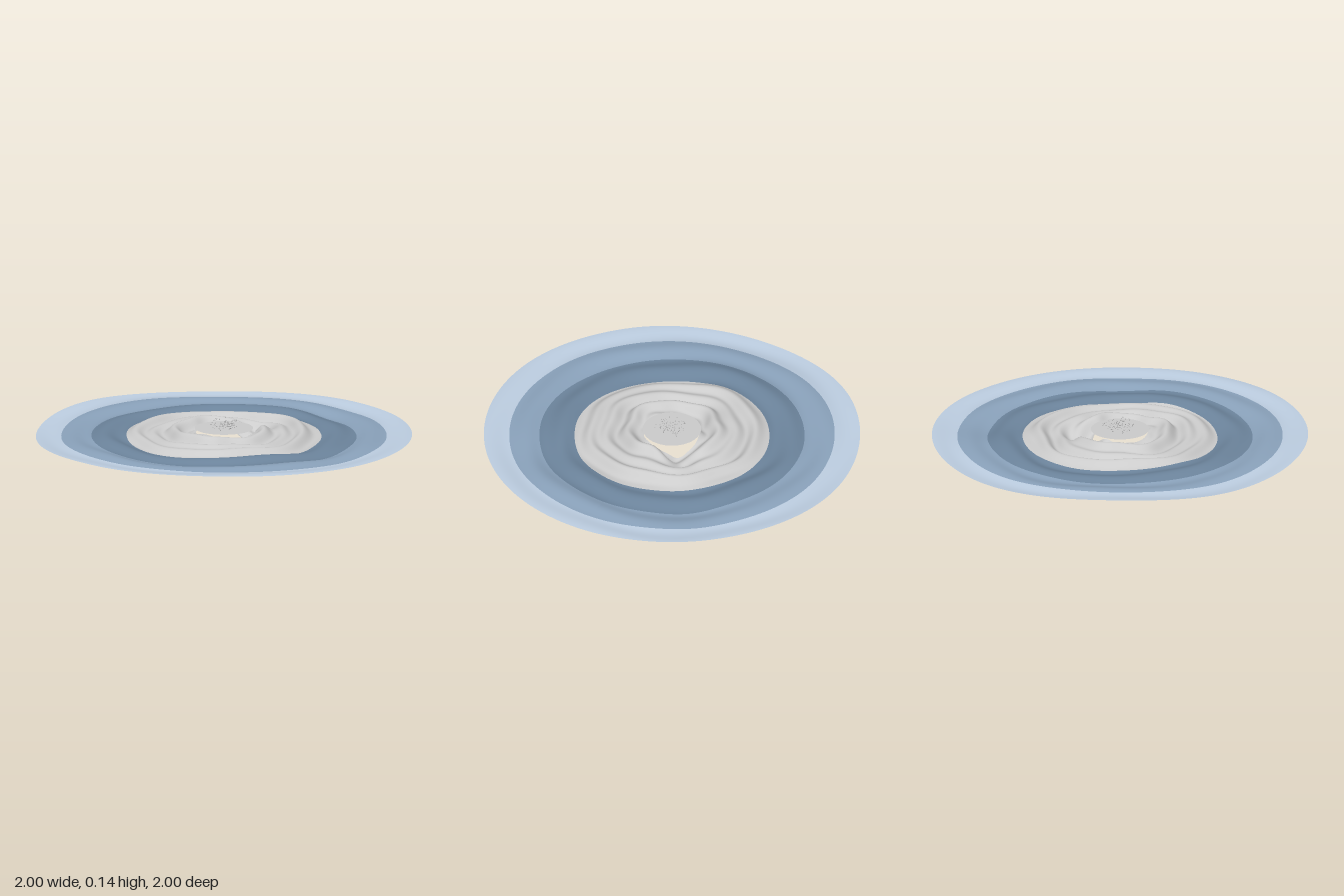
import * as THREE from 'three';

const TAU = Math.PI * 2;
const { smoothstep, lerp, clamp } = THREE.MathUtils;

// Rim heights at every eighth of a turn, starting at +x and turning towards +z
const RIM = [0.066, 0.066, 0.08, 0.072, 0.054, 0.08, 0.056, 0.068];

function rimHeight(angle) {
  const t = (((angle / TAU) % 1) + 1) % 1 * RIM.length;
  const i = Math.floor(t) % RIM.length;
  return lerp(RIM[i], RIM[(i + 1) % RIM.length], smoothstep(t - Math.floor(t), 0, 1));
}

// Height of the rippled sheet at a point: near-circular waves that fade towards the rim
function rippleHeight(x, z) {
  const r = Math.hypot(x, z);
  const a = Math.atan2(z, x);
  const fade = 1 - smoothstep(r, 0.5, 1.0);
  const inner = 1 - smoothstep(r, 0.38, 0.56);
  const crown = Math.exp(-(((r - 0.25) / 0.1) ** 2));
  const wobble = 0.008 * Math.sin(5 * a + 1) + 0.006 * Math.sin(8 * a + 9 * r);
  const broad = Math.sin((TAU * (r + wobble)) / 0.19 + 0.9 * Math.sin(a + 0.6));
  const fine = Math.sin((TAU * (r + wobble)) / 0.105 + 1.4 * Math.sin(a + 2));
  const swell = Math.sin(3 * a + 7 * r);
  const dip = (cx, cz, w, d) => d * Math.exp(-((x - cx) ** 2 + (z - cz) ** 2) / (w * w));
  return lerp(rimHeight(a), 0.069, fade) + 0.01 * inner + 0.012 * crown
    + broad * lerp(0.004, 0.011, fade) + fine * 0.013 * inner + swell * 0.009 * fade
    - dip(0.17, -0.14, 0.08, 0.075) - dip(0.55, -0.42, 0.18, 0.018) - dip(0.5, 0.45, 0.18, 0.018);
}

// One coloured annulus of the sheet
function makeBand(name, innerRadius, outerRadius, color) {
  const rows = Math.ceil((outerRadius - innerRadius) / 0.009);
  const geometry = new THREE.RingGeometry(innerRadius, outerRadius, 160, rows);
  geometry.rotateX(-Math.PI / 2);
  const p = geometry.attributes.position;
  for (let i = 0; i < p.count; i++) {
    p.setY(i, clamp(rippleHeight(p.getX(i), p.getZ(i)), 0, 0.145));
  }
  geometry.computeVertexNormals();
  const material = new THREE.MeshStandardMaterial({ color, side: THREE.DoubleSide });
  const mesh = new THREE.Mesh(geometry, material);
  mesh.name = name;
  return mesh;
}

// Small repeatable random source
function seeded(seed) {
  let s = seed;
  return () => {
    s = (s * 16807) % 2147483647;
    return s / 2147483647;
  };
}

export function createModel() {
  const model = new THREE.Group();
  model.name = 'rippledDisc';

  // Concentric bands from the centre outwards
  model.add(
    makeBand('innerBand', 0.15, 0.518, 0xcccccc),
    makeBand('darkBand', 0.518, 0.705, 0x6c849c),
    makeBand('middleBand', 0.705, 0.865, 0x8aa2bb),
    makeBand('outerBand', 0.865, 1.0, 0xbccde0)
  );

  // Flat plate floating over the central opening
  const grey = new THREE.MeshStandardMaterial({ color: 0xcccccc, side: THREE.DoubleSide });
  const plate = new THREE.Mesh(new THREE.CircleGeometry(0.155, 64), grey);
  plate.name = 'centrePlate';
  plate.rotation.x = -Math.PI / 2;
  plate.position.y = 0.104;
  model.add(plate);

  // Loose grains scattered in a square above the plate
  const random = seeded(77);
  const grains = new THREE.Group();
  grains.name = 'grains';
  const grainGeometry = new THREE.SphereGeometry(0.003, 6, 4);
  for (let i = 0; i < 90; i++) {
    const grain = new THREE.Mesh(grainGeometry, grey);
    grain.name = 'grain';
    grain.position.set((random() - 0.5) * 0.135, 0.108 + random() * 0.038, (random() - 0.5) * 0.135);
    grains.add(grain);
  }
  model.add(grains);
  return model;
}
